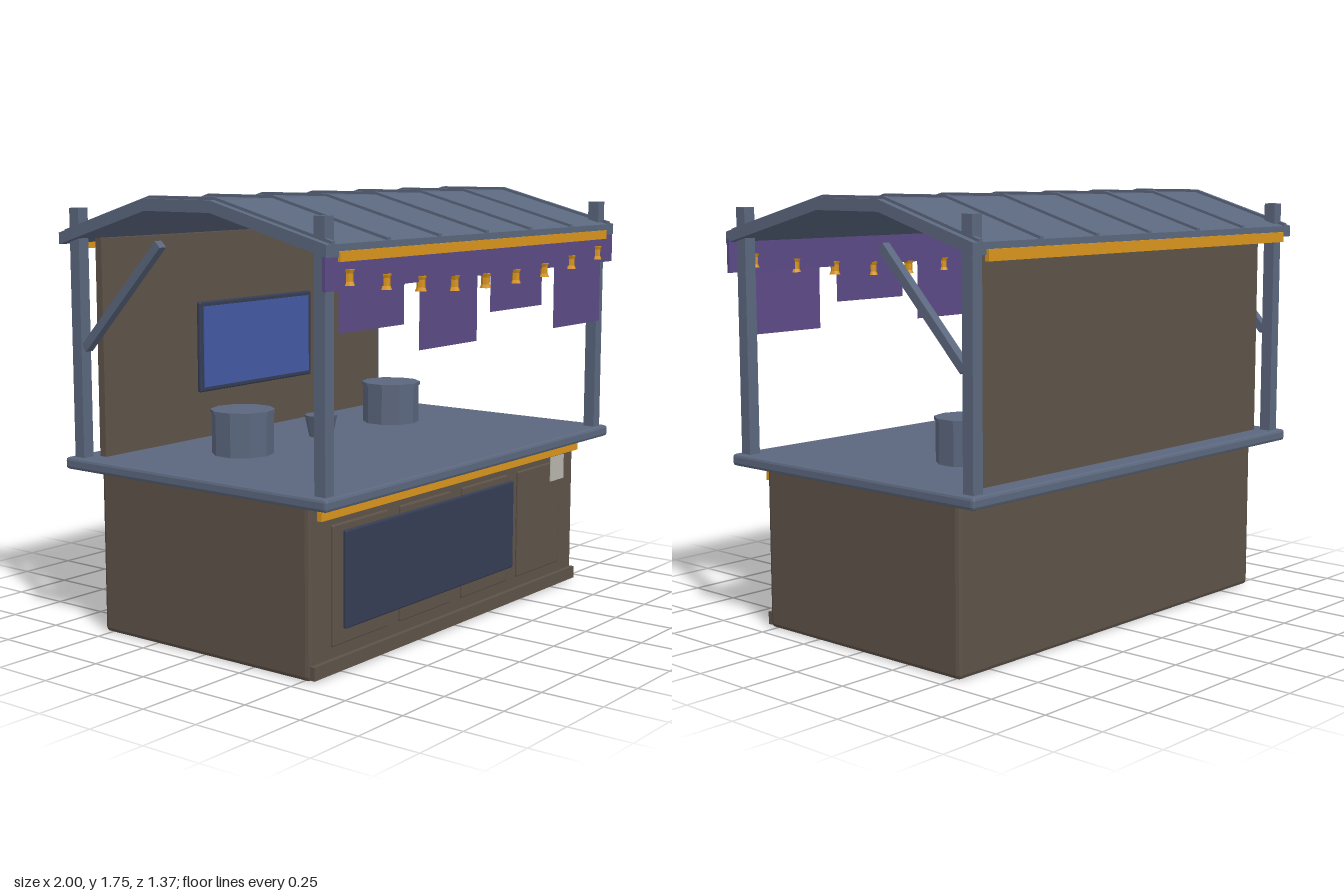
import * as THREE from 'three';
import { RoundedBoxGeometry } from 'three/addons/geometries/RoundedBoxGeometry.js';

const material = (name, color, extra = {}) => {
  const m = new THREE.MeshStandardMaterial({ color, ...extra });
  m.name = name;
  return m;
};

export function createModel() {
  const group = new THREE.Group();
  group.name = 'marketStall';
  const slate = material('slate', 0x5b677e, { flatShading: true });
  const brown = material('brown', 0x5d5248);
  const purple = material('purple', 0x5c4a86, { side: THREE.DoubleSide });
  const amber = material('amber', 0xd8941c, { flatShading: true });
  const navy = material('navy', 0x353d54);
  const blue = material('blue', 0x435aa2);
  const paper = material('paper', 0xb8b4ac);

  const add = (name, geometry, mat, x = 0, y = 0, z = 0) => {
    const mesh = new THREE.Mesh(geometry, mat);
    mesh.name = name;
    mesh.position.set(x, y, z);
    group.add(mesh);
    return mesh;
  };
  // Box given by its limits on each axis, with an optional chamfer
  const box = (name, mat, [x0, x1], [y0, y1], [z0, z1], bevel = 0) => {
    const size = [x1 - x0, y1 - y0, z1 - z0];
    let geometry = new THREE.BoxGeometry(...size);
    if (bevel) {
      geometry = new RoundedBoxGeometry(...size, 1, bevel);
      geometry.computeVertexNormals();
    }
    return add(name, geometry, mat, (x0 + x1) / 2, (y0 + y1) / 2, (z0 + z1) / 2);
  };

  // Base cabinet and counter
  box('cabinet', brown, [-0.933, 0.933], [0, 0.665], [-0.53, 0.53], 0.018);
  box('counter', slate, [-1, 1], [0.66, 0.708], [-0.665, 0.665], 0.012);
  box('kickBoard', brown, [-0.925, 0.925], [0.008, 0.06], [0.528, 0.55]);
  for (const x of [-0.635, -0.215, 0.21, 0.63]) {
    box('frontPanel', brown, [x - 0.17, x + 0.17], [0.105, 0.565], [0.525, 0.541], 0.006);
  }
  box('frontBoard', navy, [-0.76, 0.385], [0.168, 0.542], [0.55, 0.567], 0.007);
  box('counterLightStrip', amber, [-0.905, 0.905], [0.6, 0.635], [0.548, 0.568]);
  box('notice', paper, [0.71, 0.82], [0.483, 0.59], [0.545, 0.549]);

  // Back wall with its screen
  box('backWall', brown, [-0.9, 0.9], [0.705, 1.575], [-0.57, -0.537]);
  box('screenFrame', navy, [-0.367, 0.367], [0.905, 1.287], [-0.537, -0.518], 0.007);
  box('screen', blue, [-0.345, 0.345], [0.925, 1.267], [-0.519, -0.514]);

  // Corner posts and rear braces
  for (const x of [-0.945, 0.945]) {
    for (const z of [-0.613, 0.613]) {
      box('post', slate, [x - 0.025, x + 0.025], [0.7, 1.693], [z - 0.025, z + 0.025]);
    }
    const brace = add('brace', new THREE.BoxGeometry(0.035, 0.59, 0.035), slate, x, 1.356, -0.377);
    brace.rotation.x = Math.atan2(0.41, 0.42);
  }

  // Arched roof: a bent slab with raised ribs following the same line
  const roofLine = [[-0.668, 1.597], [-0.2, 1.737], [0.13, 1.737], [0.668, 1.597]];
  const bentSlab = (name, x, width, rise, depth) => {
    const top = roofLine.map(([z, y]) => new THREE.Vector2(-z, y + rise));
    const under = roofLine.map(([z, y]) => new THREE.Vector2(-z, y - depth)).reverse();
    const geometry = new THREE.ExtrudeGeometry(new THREE.Shape([...top, ...under]),
      { depth: width, bevelEnabled: false });
    geometry.translate(0, 0, -width / 2).rotateY(Math.PI / 2);
    return add(name, geometry, slate, x);
  };
  bentSlab('roof', 0, 2, 0, 0.045);
  for (let i = -3; i <= 3; i++) bentSlab('roofRib', i * 0.32, 0.02, 0.011, 0.01);

  // Valance, hanging banners and eave strips
  box('valance', purple, [-1, 1], [1.435, 1.568], [0.65, 0.664]);
  for (const [x, bottom] of [[-0.725, 1.285], [-0.243, 1.18], [0.236, 1.285], [0.718, 1.18]]) {
    const height = 1.45 - bottom;
    add('banner', new THREE.PlaneGeometry(0.386, height), purple, x, bottom + height / 2, 0.657);
  }
  box('frontEaveStrip', amber, [-0.93, 0.93], [1.535, 1.572], [0.655, 0.675]);
  box('backEaveStrip', amber, [-0.93, 0.93], [1.53, 1.572], [-0.68, -0.66]);

  // Sagging row of small waisted lanterns
  const lantern = new THREE.LatheGeometry([[0, -0.028], [0.023, -0.028], [0.017, -0.014],
    [0.017, 0.014], [0.023, 0.028], [0, 0.028]].map((p) => new THREE.Vector2(...p)), 8);
  for (let i = -4; i <= 4; i++) {
    add('lantern', lantern, amber, i * 0.217, 1.412 + 0.066 * (i / 4) ** 2, 0.662);
  }

  // Cooking pots with lids, and a cup between them
  for (const x of [-0.5, 0.5]) {
    add('pot', new THREE.CylinderGeometry(0.125, 0.125, 0.175, 10), slate, x, 0.793, -0.165);
    add('potLid', new THREE.CylinderGeometry(0.131, 0.131, 0.014, 10), slate, x, 0.881, -0.165);
  }
  add('cup', new THREE.CylinderGeometry(0.07, 0.05, 0.095, 10), slate, 0, 0.753, -0.165);

  return group;
}
